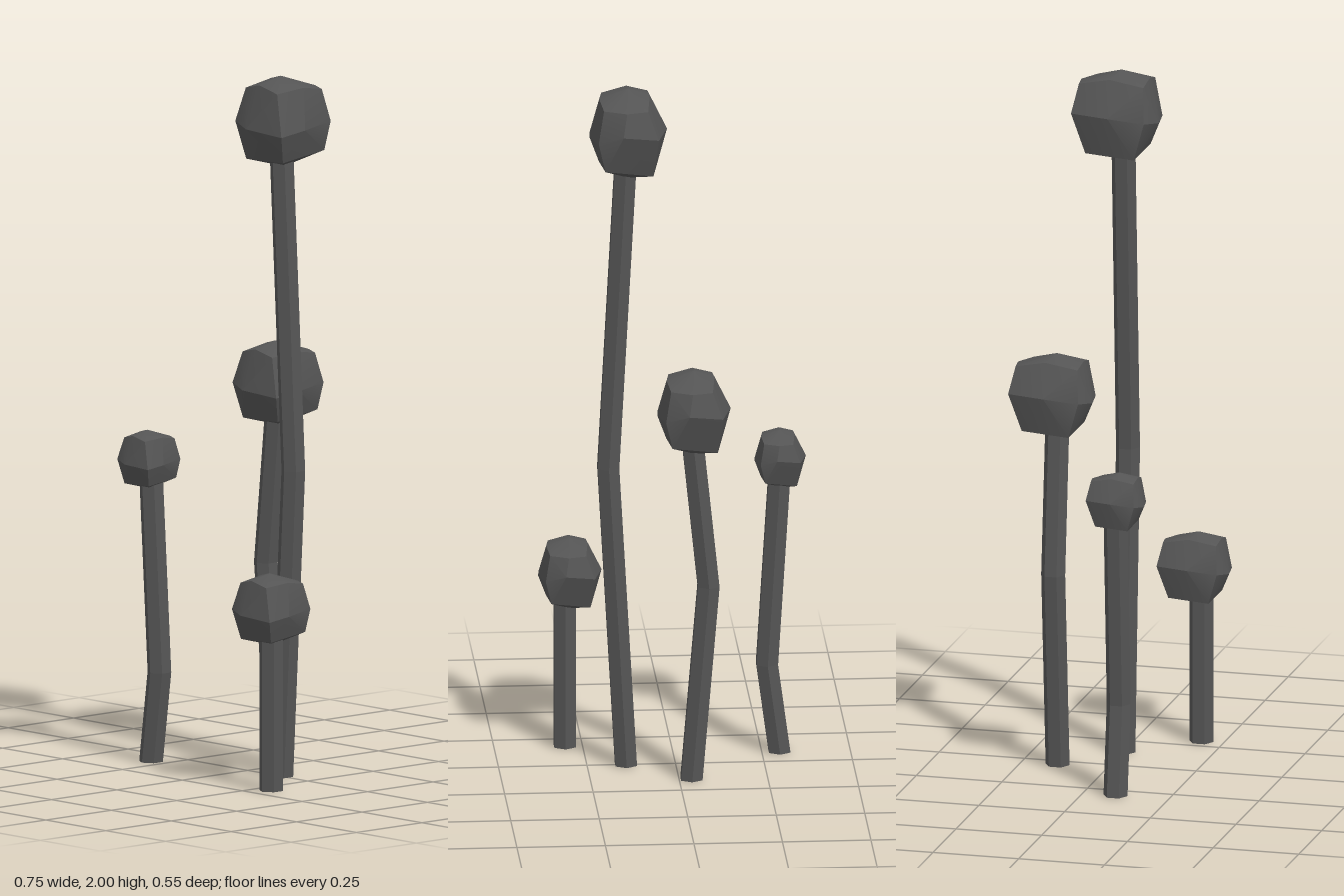
import * as THREE from 'three';
import { ConvexGeometry } from 'three/addons/geometries/ConvexGeometry.js';
import { toCreasedNormals } from 'three/addons/utils/BufferGeometryUtils.js';

// Faceted lump in a unit box, shared by all the heads
const LUMP = [
  [0, 1, 0.1], // crown
  [-0.45, 0.72, -0.78], [0.68, 0.7, -0.6], [0.65, 0.72, 0.72], [-0.55, 0.75, 0.72],
  [-0.55, 0.88, -0.05], [0.76, 0.8, 0], [0, 0.86, 0.75], [0.1, 0.7, -0.85],
  [-0.72, 0.1, -0.9], [0.83, 0, -0.75], [0.94, -0.2, 0.82], [-0.85, 0, 0.8], // girdle
  [0.2, 0.2, -1], [1, -0.1, 0.15], [-0.2, -0.1, 1], [-1, 0.1, 0],
  [-0.6, -0.8, -0.6], [0.65, -0.65, -0.7], [0.72, -0.8, 0.6], [-0.75, -0.85, 0.55], // underside
  [0, -1, 0],
];

// Each plant: stem path as [x, y] points at depth z, head centre and half sizes
const PLANTS = [
  { z: 0, path: [[0.14, 0], [0.19, 0.88], [0.14, 1.8]], centre: [0.134, 1.87, -0.016], half: [0.109, 0.13, 0.127] },
  { z: -0.145, path: [[-0.035, 0], [-0.083, 0.57], [-0.035, 1.03]], centre: [-0.042, 1.086, -0.158], half: [0.103, 0.121, 0.122] },
  { z: 0.095, path: [[-0.3, 0], [-0.265, 0.26], [-0.3, 0.82]], centre: [-0.303, 0.864, 0.098], half: [0.072, 0.084, 0.084] },
  { z: 0.185, path: [[0.3, 0], [0.3, 0.22], [0.3, 0.46]], centre: [0.286, 0.515, 0.169], half: [0.089, 0.103, 0.105] },
];

// Six-sided stem whose rings are shifted onto the path
function stemGeometry(path, z) {
  const geometry = new THREE.CylinderGeometry(0.035, 0.035, 2, 6, path.length - 1);
  const pos = geometry.attributes.position;
  for (let i = 0; i < pos.count; i++) {
    const [x, y] = path[Math.round(pos.getY(i) + 1)];
    pos.setXYZ(i, pos.getX(i) + x, y, pos.getZ(i) + z);
  }
  geometry.computeVertexNormals();
  return geometry;
}

function headGeometry(half) {
  const size = new THREE.Vector3(...half);
  const points = LUMP.map((p) => new THREE.Vector3(...p).multiply(size));
  return toCreasedNormals(new ConvexGeometry(points), 0.5);
}

export function createModel() {
  const model = new THREE.Group();
  model.name = 'stalkedPlants';
  const stemMaterial = new THREE.MeshStandardMaterial({ color: 0x555555, flatShading: true });
  const headMaterial = new THREE.MeshStandardMaterial({ color: 0x555555 });

  for (const { z, path, centre, half } of PLANTS) {
    const plant = new THREE.Group();
    plant.name = 'plant';

    const stem = new THREE.Mesh(stemGeometry(path, z), stemMaterial);
    stem.name = 'stem';

    const head = new THREE.Mesh(headGeometry(half), headMaterial);
    head.name = 'head';
    head.position.set(...centre);

    plant.add(stem, head);
    model.add(plant);
  }
  return model;
}
